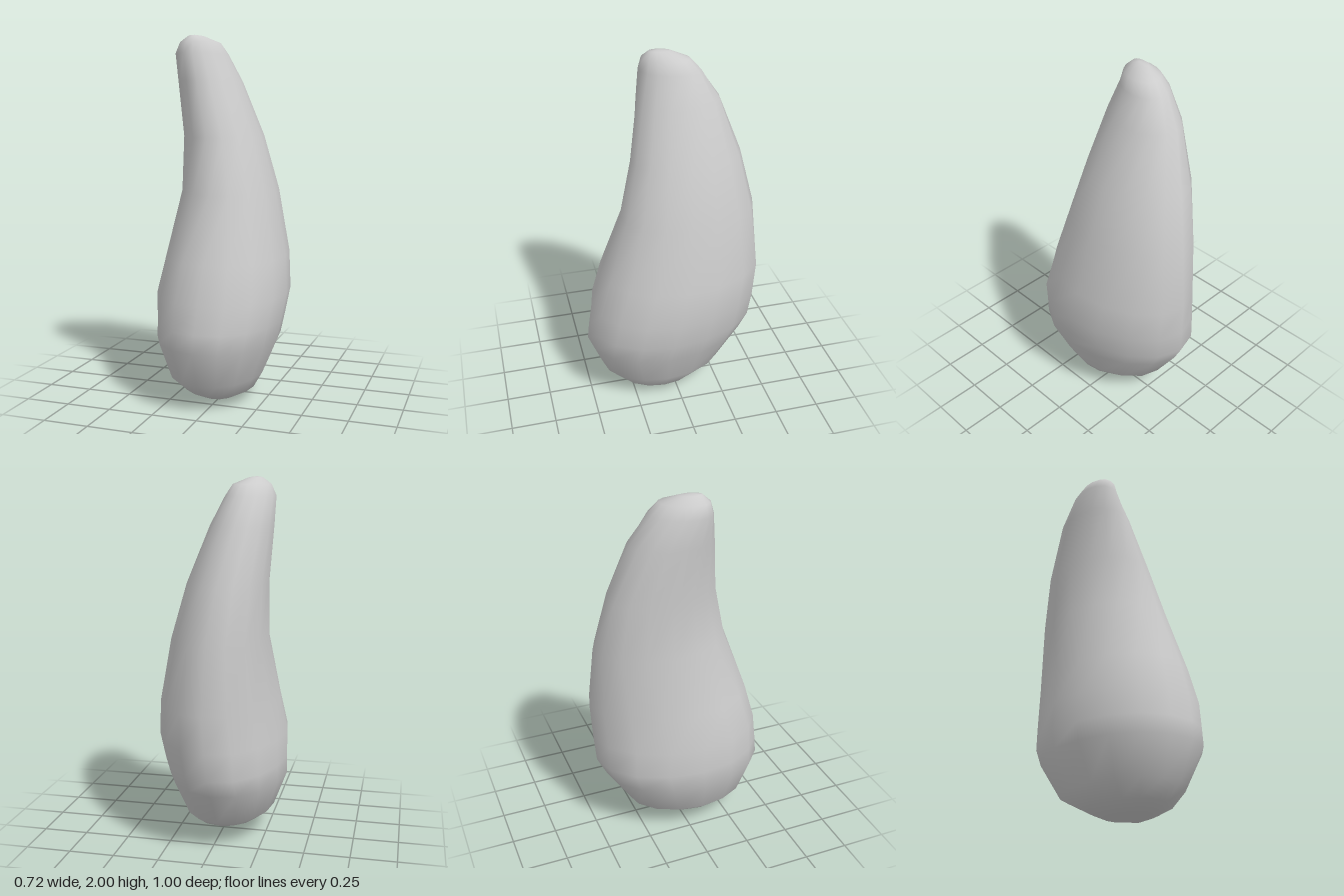
import * as THREE from 'three';

// Cross-sections: y, min x, max x, min z, max z, lean (diagonal skew), egg (wider towards the front)
const RINGS = [
  [0.03, -0.11, 0.11, -0.06, 0.25, 0, 0],
  [0.07, -0.20, 0.185, -0.15, 0.33, 0, 0],
  [0.15, -0.285, 0.23, -0.30, 0.42, 0.02, 0.03],
  [0.35, -0.36, 0.315, -0.43, 0.50, 0.05, 0.07],
  [0.45, -0.36, 0.33, -0.48, 0.49, 0.03, 0.09],
  [0.60, -0.36, 0.357, -0.49, 0.47, 0, 0.11],
  [0.80, -0.32, 0.335, -0.50, 0.415, -0.02, 0.09],
  [1.15, -0.27, 0.265, -0.47, 0.29, 0.07, 0.04],
  [1.45, -0.27, 0.175, -0.40, 0.215, 0.08, 0],
  [1.75, -0.285, 0.05, -0.29, 0.16, -0.06, 0],
  [1.90, -0.285, -0.025, -0.19, 0.13, -0.25, 0],
  [1.96, -0.255, -0.06, -0.135, 0.115, -0.28, 0],
  [1.995, -0.205, -0.14, -0.04, 0.075, -0.28, 0],
];
const SIDES = 16;

// Closed skin through the rings, with a pole at each end
function loft(rings, bottom, top) {
  const pos = [];
  const index = [];
  for (const [y, x0, x1, z0, z1, lean, egg] of rings) {
    const phi = Math.asin(lean);
    for (let j = 0; j < SIDES; j++) {
      const t = (j / SIDES) * Math.PI * 2;
      const s = Math.sin(t + phi);
      pos.push(
        (x0 + x1) / 2 + ((x1 - x0) / 2) * Math.cos(t),
        y,
        (z0 + z1) / 2 + ((z1 - z0) / 2) * (s + egg * (1 - s * s)),
      );
    }
  }
  const low = rings.length * SIDES;
  const high = low + 1;
  pos.push(...bottom, ...top);
  const last = (rings.length - 1) * SIDES;
  for (let j = 0; j < SIDES; j++) {
    const k = (j + 1) % SIDES;
    for (let r = 0; r < last; r += SIDES) {
      const a = r + j, b = r + k, c = a + SIDES, d = b + SIDES;
      index.push(a, c, b, b, c, d);
    }
    index.push(low, j, k, high, last + k, last + j);
  }
  const geometry = new THREE.BufferGeometry();
  geometry.setAttribute('position', new THREE.Float32BufferAttribute(pos, 3));
  geometry.setIndex(index);
  geometry.computeVertexNormals();
  return geometry;
}

export function createModel() {
  const group = new THREE.Group();
  const material = new THREE.MeshStandardMaterial({ color: 0xcccccc });
  // Smooth, curved body that swells at the base and bends to a blunt tip
  const body = new THREE.Mesh(loft(RINGS, [0.03, 0, 0.12], [-0.175, 2, 0.03]), material);
  body.name = 'curvedBody';
  group.add(body);
  return group;
}
